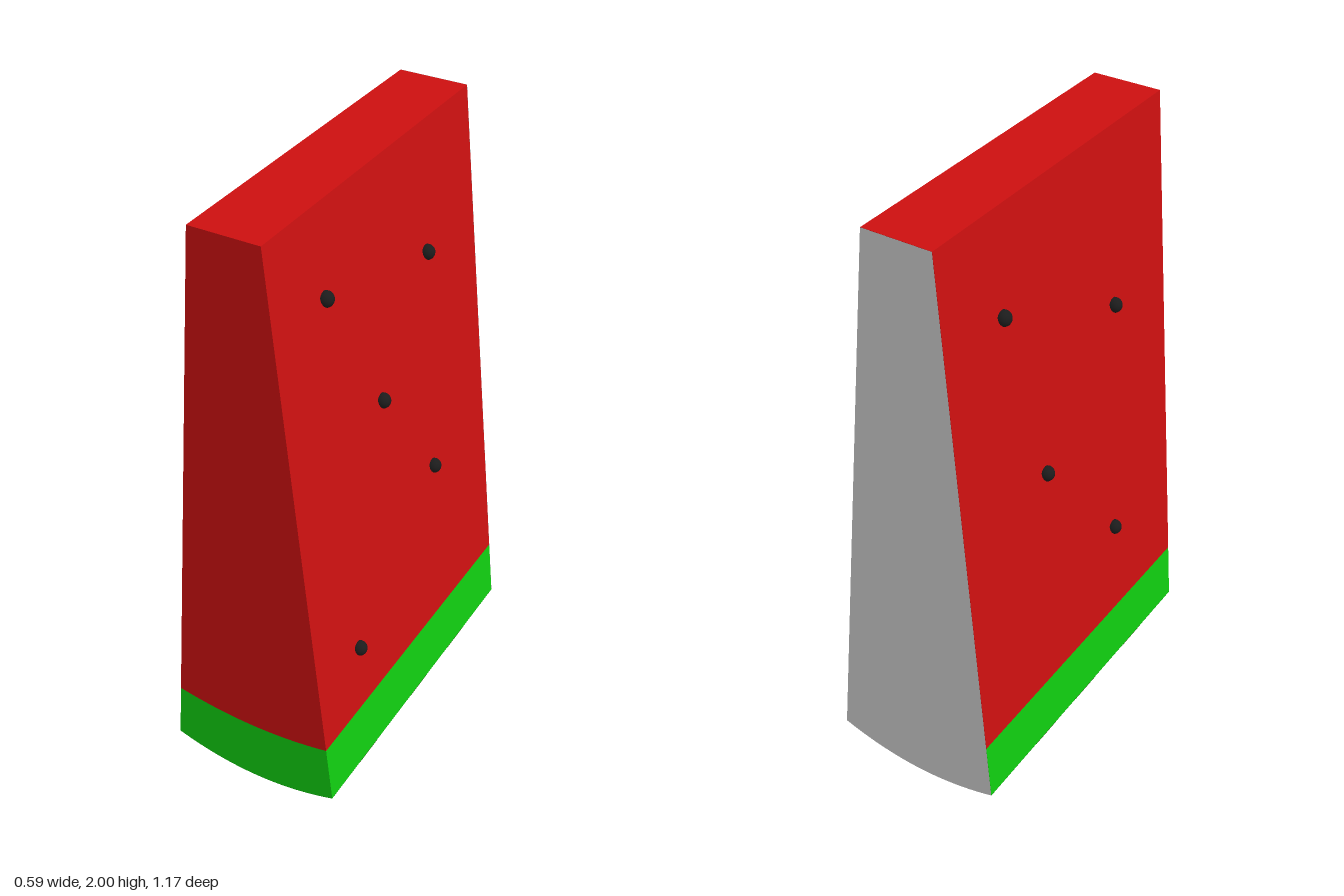
import * as THREE from 'three';

const DEPTH = 1.166, HALF = DEPTH / 2;
const mat = (color, side = THREE.FrontSide) => new THREE.MeshStandardMaterial({ color, side });

// wedge outline: sides lean in from the rind corners to the blunt tip
const sideX = (s, y) => s * 0.295 - (s > 0 ? 0.2 : -0.16) * (y - 0.05) / 1.95;
const L = (y) => [sideX(-1, y), y];
const R = (y) => [sideX(1, y), y];

// closed outline with a bowed bottom edge; an optional bowed top edge
function outline(yLow, ctrlLow, yHigh, ctrlHigh) {
  const s = new THREE.Shape();
  s.moveTo(...L(yLow));
  s.quadraticCurveTo(0, ctrlLow, ...R(yLow));
  s.lineTo(...R(yHigh));
  if (ctrlHigh === undefined) s.lineTo(...L(yHigh));
  else s.quadraticCurveTo(0, ctrlHigh, ...L(yHigh));
  return s;
}

function slab(name, shape, color) {
  const geo = new THREE.ExtrudeGeometry(shape, { depth: DEPTH, bevelEnabled: false, curveSegments: 20 });
  geo.translate(0, 0, -HALF);
  const mesh = new THREE.Mesh(geo, mat(color));
  mesh.name = name;
  return mesh;
}

// sheet following the curved underside; zMid(u) is its centre line across the slice
function skinSheet(name, width, zMid, offset, color) {
  const geo = new THREE.PlaneGeometry(1, 1, 32, 1);
  const p = geo.attributes.position;
  for (let i = 0; i < p.count; i++) {
    const u = p.getX(i) + 0.5, x = -0.295 + 0.59 * u;
    const y = 0.05 * (x / 0.295) ** 2 - offset;
    p.setXYZ(i, x, y, zMid(u) + p.getY(i) * width);
  }
  geo.computeVertexNormals();
  const mesh = new THREE.Mesh(geo, mat(color, THREE.DoubleSide));
  mesh.name = name;
  return mesh;
}

export function createModel() {
  const model = new THREE.Group();
  model.name = 'melonSlice';

  model.add(slab('flesh', outline(0.257, 0.198, 2), 0xcc1010));
  model.add(slab('rind', outline(0.05, -0.05, 0.257, 0.198), 0x10cc10));

  // plain back face
  const back = new THREE.Mesh(new THREE.ShapeGeometry(outline(0.05, -0.05, 2), 20), mat(0xcccccc, THREE.DoubleSide));
  back.name = 'backFace';
  back.position.z = -HALF - 0.001;
  model.add(back);

  // dark skin with wavy stripes
  model.add(skinSheet('skin', DEPTH, () => 0, 0.001, 0x0a6b0a));
  [0.31, -0.03, -0.29].forEach((z, i) => {
    const wave = (u) => z + 0.035 * Math.sin(u * Math.PI * 2.6 + i * 0.6);
    model.add(skinSheet('skinStripe', 0.12, wave, 0.0025, 0x382c08));
  });

  // half-round seeds on both cut sides: [side, y, z]
  const seedGeo = new THREE.SphereGeometry(0.025, 16, 8, 0, Math.PI * 2, 0, Math.PI / 2);
  const seedMat = mat(0x1c1c1c);
  const seeds = [
    [1, 1.72, 0.32], [1, 1.59, -0.26], [1, 1.25, 0.07], [1, 0.84, -0.21], [1, 0.49, 0.34],
    [-1, 1.67, -0.31], [-1, 1.42, 0.27], [-1, 1.05, -0.155], [-1, 0.6, 0.215],
  ];
  for (const [s, y, z] of seeds) {
    const seed = new THREE.Mesh(seedGeo, seedMat);
    seed.name = 'seed';
    seed.position.set(sideX(s, y) + s * 0.005, y, z);
    seed.rotation.z = -s * 1.1;
    model.add(seed);
  }
  return model;
}
